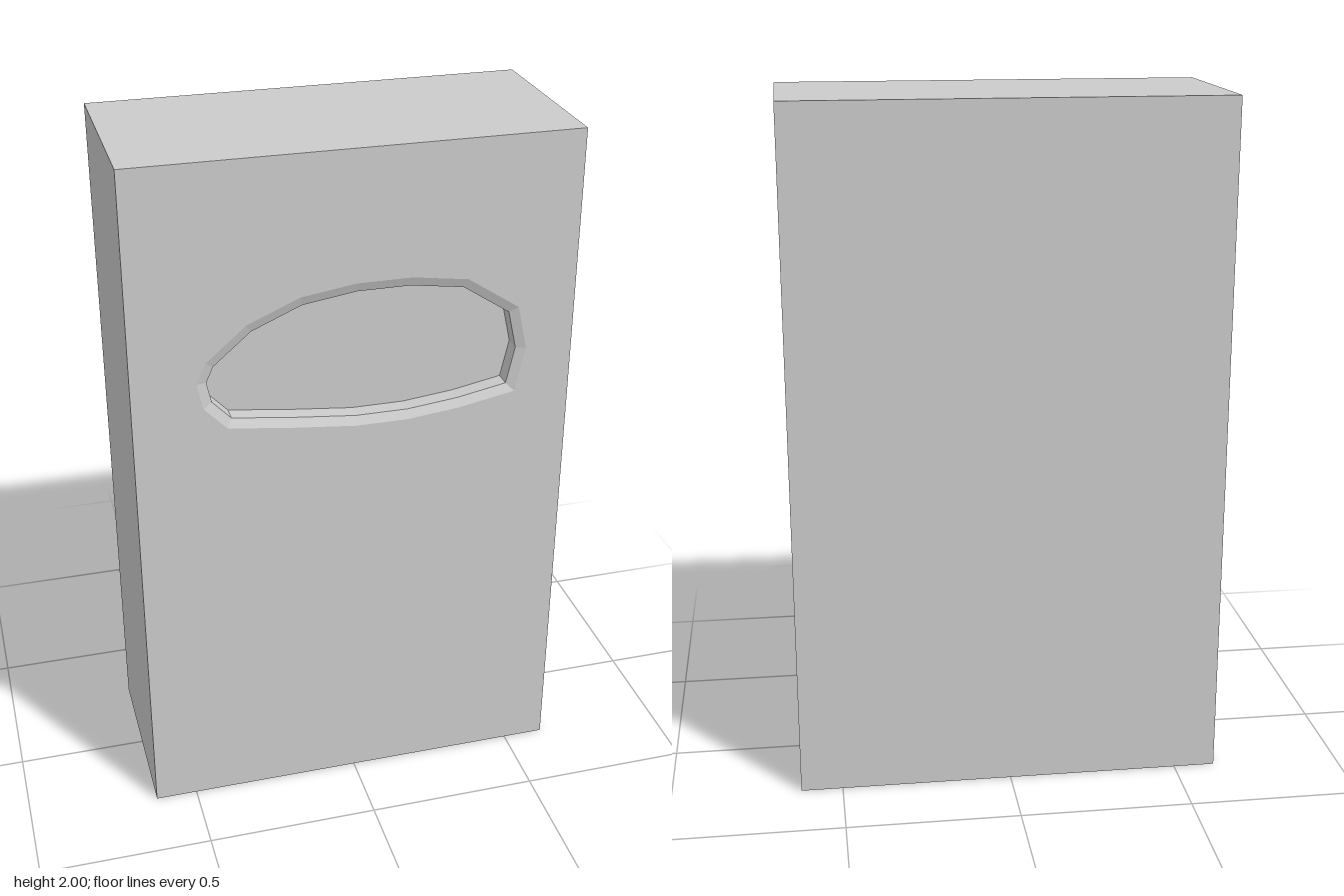
import * as THREE from 'three';

const W = 0.622, H = 2, D = 0.278; // half width, height, half depth
const MOUTH_Z = 0.268, FLOOR_Z = 0.22, BEVEL = 0.027;

// Recess outline, clockwise from its right-hand tip as seen from the front
const outline = [
  [-0.415, 1.385], [-0.395, 1.43], [-0.29, 1.52], [-0.15, 1.58], [0, 1.602], [0.15, 1.602],
  [0.3, 1.58], [0.435, 1.49], [0.46, 1.38], [0.437, 1.272], [0.295, 1.245], [0.15, 1.229],
  [0, 1.229], [-0.17, 1.247], [-0.35, 1.27], [-0.402, 1.325],
].map(([x, y]) => new THREE.Vector2(x, y));

// Mitred outward offset of a clockwise loop
function offsetLoop(loop, d) {
  const n = loop.length;
  const normal = (a, b) => new THREE.Vector2(a.y - b.y, b.x - a.x).normalize();
  return loop.map((p, i) => {
    const n1 = normal(loop[(i + n - 1) % n], p);
    const n2 = normal(p, loop[(i + 1) % n]);
    return n1.clone().add(n2).multiplyScalar(d / (1 + n1.dot(n2))).add(p);
  });
}

// Band of quads joining two matching loops at different depths, facing the middle
function band(front, zFront, back, zBack) {
  const pos = [];
  front.forEach((a, i) => {
    const j = (i + 1) % front.length;
    const b = front[j], c = back[j], d = back[i];
    pos.push(a.x, a.y, zFront, b.x, b.y, zFront, c.x, c.y, zBack);
    pos.push(a.x, a.y, zFront, c.x, c.y, zBack, d.x, d.y, zBack);
  });
  const g = new THREE.BufferGeometry();
  g.setAttribute('position', new THREE.Float32BufferAttribute(pos, 3));
  g.computeVertexNormals();
  return g;
}

export function createModel() {
  const model = new THREE.Group();
  model.name = 'openSidedBox';
  const material = new THREE.MeshStandardMaterial({
    color: 0xcccccc, flatShading: true, side: THREE.DoubleSide,
  });
  const add = (name, geometry, parent = model) => {
    const mesh = new THREE.Mesh(geometry, material);
    mesh.name = name;
    parent.add(mesh);
    return mesh;
  };
  const panel = (name, w, h, position, rotation) => {
    const mesh = add(name, new THREE.PlaneGeometry(w, h));
    mesh.position.set(...position);
    mesh.rotation.set(...rotation);
  };

  // Thin shell, left open on the +x side
  const q = Math.PI / 2;
  panel('backPanel', 2 * W, H, [0, H / 2, -D], [0, Math.PI, 0]);
  panel('sidePanel', 2 * D, H, [-W, H / 2, 0], [0, -q, 0]);
  panel('topPanel', 2 * W, 2 * D, [0, H, 0], [-q, 0, 0]);
  panel('bottomPanel', 2 * W, 2 * D, [0, 0, 0], [q, 0, 0]);

  // Front panel with the recess opening cut out
  const rim = offsetLoop(outline, BEVEL);
  const face = new THREE.Shape([
    new THREE.Vector2(-W, 0), new THREE.Vector2(W, 0),
    new THREE.Vector2(W, H), new THREE.Vector2(-W, H),
  ]);
  face.holes.push(new THREE.Path(rim));
  add('frontPanel', new THREE.ShapeGeometry(face).translate(0, 0, D));

  // Recess: shallow bevel, straight wall and flat floor
  const recess = new THREE.Group();
  recess.name = 'recess';
  model.add(recess);
  add('recessBevel', band(rim, D, outline, MOUTH_Z), recess);
  add('recessWall', band(outline, MOUTH_Z, outline, FLOOR_Z), recess);
  add('recessFloor', new THREE.ShapeGeometry(new THREE.Shape(outline)).translate(0, 0, FLOOR_Z), recess);

  return model;
}
